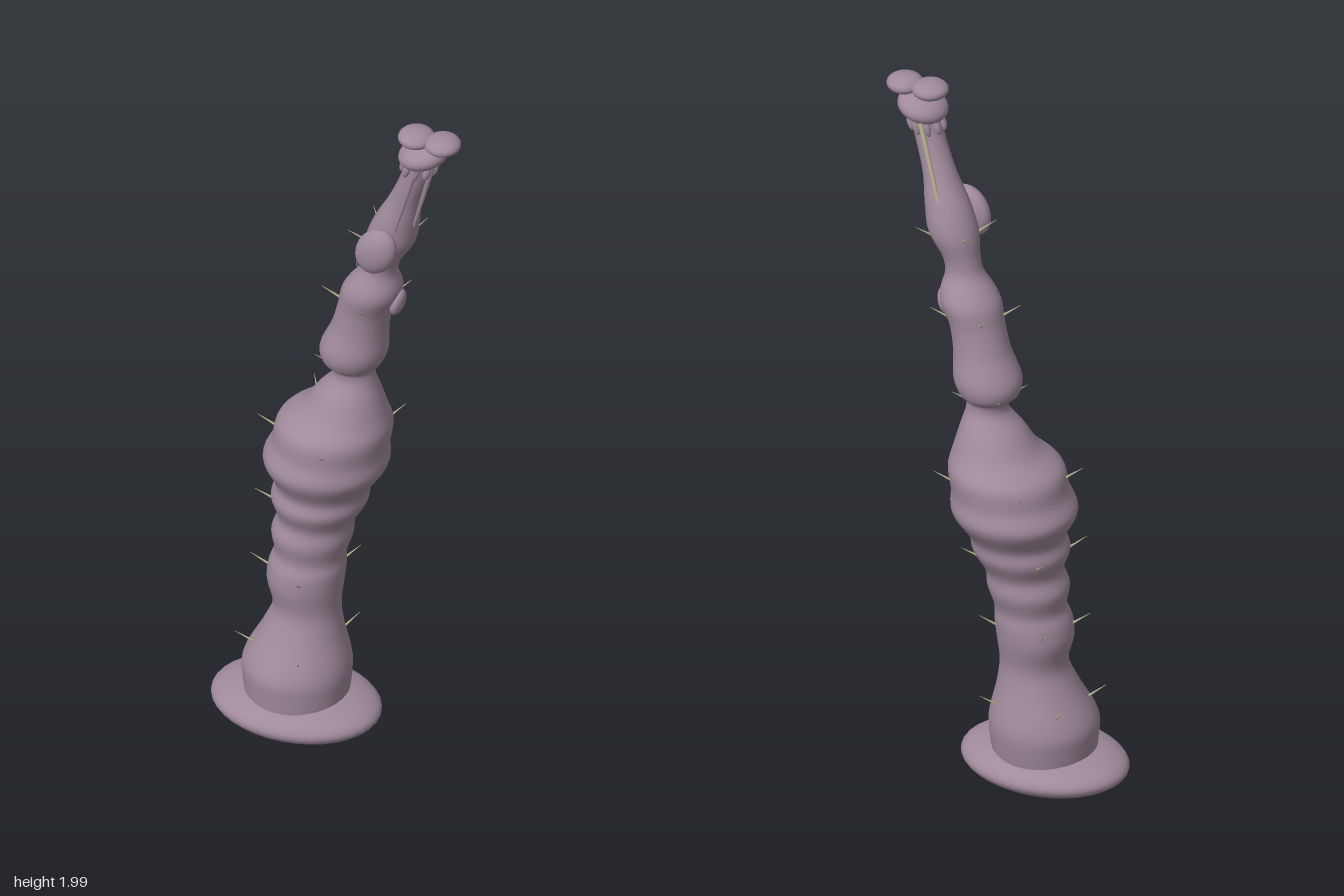
import * as THREE from 'three';

// Trunk stations: height, centre x, centre z, radius
const STATIONS = [
  [0.08, -0.12, 0.035, 0.135], [0.14, -0.12, 0.032, 0.142], [0.2, -0.12, 0.03, 0.144],
  [0.3, -0.108, 0.02, 0.108], [0.37, -0.1, 0.014, 0.09], [0.45, -0.105, 0.012, 0.102],
  [0.5, -0.1, 0.01, 0.102], [0.54, -0.094, 0.006, 0.095], [0.6, -0.09, 0.002, 0.108],
  [0.65, -0.08, -0.002, 0.103], [0.71, -0.073, -0.006, 0.128], [0.755, -0.065, -0.012, 0.127],
  [0.83, -0.06, -0.018, 0.166], [0.885, -0.048, -0.02, 0.155], [0.95, -0.035, -0.022, 0.151],
  [1.0, -0.01, -0.024, 0.115], [1.06, 0.004, -0.024, 0.085], [1.11, 0.018, -0.024, 0.057],
  [1.14, 0.016, -0.024, 0.057], [1.16, 0.013, -0.024, 0.078], [1.2, 0.018, -0.022, 0.09],
  [1.28, 0.038, -0.018, 0.076], [1.35, 0.055, -0.014, 0.073], [1.41, 0.076, -0.01, 0.08],
  [1.44, 0.086, -0.007, 0.073], [1.49, 0.1, -0.002, 0.05], [1.53, 0.11, 0, 0.05],
  [1.6, 0.135, 0.002, 0.066], [1.67, 0.156, 0.008, 0.06], [1.75, 0.185, 0.018, 0.045],
  [1.84, 0.22, 0.03, 0.04], [1.93, 0.248, 0.036, 0.042],
];
const centres = new THREE.CatmullRomCurve3(STATIONS.map(s => new THREE.Vector3(s[1], s[0], s[2])));
const radii = new THREE.CatmullRomCurve3(STATIONS.map(s => new THREE.Vector3(s[3], s[0], 0)));

// Linear lookup of the trunk centre and radius at a height
function trunkAt(y) {
  let i = 0;
  while (i < STATIONS.length - 2 && STATIONS[i + 1][0] < y) i++;
  const a = STATIONS[i], b = STATIONS[i + 1], f = (y - a[0]) / (b[0] - a[0]);
  return [1, 2, 3].map(k => a[k] + (b[k] - a[k]) * f);
}

// Smooth loft through the stations
function trunkGeometry(rows = 155, sides = 40) {
  const pos = [], idx = [];
  for (let i = 0; i <= rows; i++) {
    const c = centres.getPoint(i / rows), r = radii.getPoint(i / rows).x;
    for (let j = 0; j < sides; j++) {
      const a = j / sides * Math.PI * 2;
      pos.push(c.x + r * Math.cos(a), c.y, c.z + r * Math.sin(a));
      if (i === rows) continue;
      const k = (j + 1) % sides, p = i * sides + j, q = i * sides + k;
      idx.push(p, p + sides, q, q, p + sides, q + sides);
    }
  }
  const g = new THREE.BufferGeometry();
  g.setAttribute('position', new THREE.Float32BufferAttribute(pos, 3));
  g.setIndex(idx);
  g.computeVertexNormals();
  return g;
}

export function createModel() {
  const model = new THREE.Group();
  const skin = new THREE.MeshStandardMaterial({ color: 0xa08a9b });
  skin.name = 'mauve skin';
  const thorn = new THREE.MeshStandardMaterial({ color: 0xb9b193 });
  thorn.name = 'pale thorn';

  const add = (name, geo, mat) => {
    const m = new THREE.Mesh(geo, mat);
    m.name = name;
    model.add(m);
    return m;
  };
  const ball = new THREE.SphereGeometry(1, 36, 24);
  const blob = (name, p, s, tilt = 0) => {
    const m = add(name, ball, skin);
    m.position.set(...p);
    m.scale.set(...s);
    m.rotation.z = tilt;
  };
  // Tapered rod between two points
  const rod = (name, a, b, r0, r1, mat) => {
    const from = new THREE.Vector3(...a), dir = new THREE.Vector3(...b).sub(from);
    const m = add(name, new THREE.CylinderGeometry(r1, r0, dir.length(), 8), mat);
    m.position.copy(from).addScaledVector(dir, 0.5);
    m.quaternion.setFromUnitVectors(new THREE.Vector3(0, 1, 0), dir.normalize());
  };

  // Trunk and round foot
  add('trunk', trunkGeometry(), skin);
  blob('foot', [-0.12, 0.068, 0.037], [0.232, 0.062, 0.178]);

  // Buds on the upper stem
  blob('frontBud', [0.135, 1.613, 0.092], [0.054, 0.073, 0.034], -0.45);
  blob('sideBud', [0.15, 1.39, -0.01], [0.018, 0.04, 0.031], -0.25);

  // Crown with two caps
  blob('crown', [0.246, 1.925, 0.036], [0.068, 0.038, 0.068], 0.25);
  blob('rightCap', [0.227, 1.975, 0.041], [0.048, 0.025, 0.049]);
  blob('leftCap', [0.303, 1.974, 0.041], [0.048, 0.025, 0.049]);

  // Small drops hanging below the crown
  for (let i = 0; i < 9; i++) {
    const a = i / 9 * Math.PI * 2;
    blob('drop', [0.234 + 0.042 * Math.cos(a), 1.883, 0.034 + 0.042 * Math.sin(a)], [0.01, 0.025, 0.01], -0.3);
  }

  // Strands running down the neck
  rod('frontStrand', [0.175, 1.67, 0.066], [0.243, 1.9, 0.079], 0.004, 0.008, skin);
  rod('leftStrand', [0.215, 1.68, 0.03], [0.278, 1.9, 0.05], 0.004, 0.008, skin);
  rod('backStrand', [0.14, 1.64, -0.046], [0.225, 1.9, -0.014], 0.005, 0.007, thorn);

  // Thorns in rings, angled upward
  [0.25, 0.48, 0.7, 0.92, 1.14, 1.37, 1.59].forEach((y, level) => {
    const [cx, cz, r] = trunkAt(y);
    [68, 150, 222, 310].forEach(deg => {
      const a = THREE.MathUtils.degToRad(deg + (level % 2) * 8);
      const at = (d, h) => [cx + d * Math.cos(a), y + h, cz + d * Math.sin(a)];
      rod('thorn', at(r - 0.008, 0), at(r + 0.045, 0.038), 0.004, 0.0005, thorn);
    });
  });

  return model;
}
